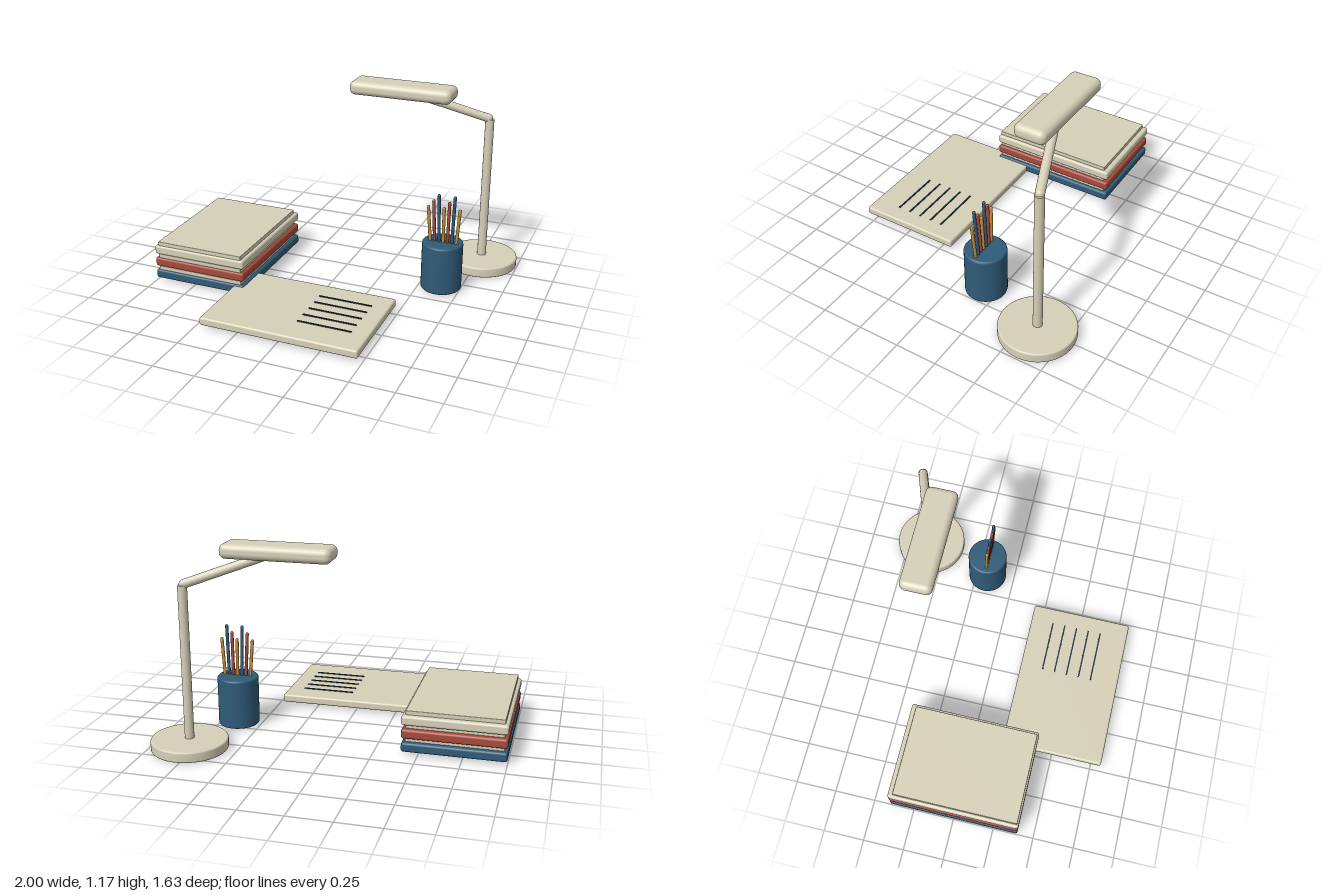
import * as THREE from 'three';
import { RoundedBoxGeometry } from 'three/addons/geometries/RoundedBoxGeometry.js';

const material = (name, color) => Object.assign(new THREE.MeshStandardMaterial({ color }), { name });

export function createModel() {
  const cream = material('cream', 0xd6d0b8);
  const blue = material('blue', 0x2f5b78);
  const red = material('red', 0xa64a3c);
  const gold = material('gold', 0xc08f3c);
  const ink = material('ink', 0x22323c);

  const model = new THREE.Group();
  model.name = 'deskSet';
  const group = (name) => {
    const g = new THREE.Group();
    g.name = name;
    model.add(g);
    return g;
  };
  const add = (parent, name, geometry, mat, x = 0, y = 0, z = 0) => {
    const mesh = new THREE.Mesh(geometry, mat);
    mesh.name = name;
    mesh.position.set(x, y, z);
    parent.add(mesh);
    return mesh;
  };
  // Rounded box given by its minimum and maximum corners
  const slab = (parent, name, mat, [x0, y0, z0], [x1, y1, z1], r, segments = 3) =>
    add(parent, name, new RoundedBoxGeometry(x1 - x0, y1 - y0, z1 - z0, segments, r), mat,
      (x0 + x1) / 2, (y0 + y1) / 2, (z0 + z1) / 2);
  // Round disc or drum with softened rims, standing on y = 0
  const drum = (radius, height, bevel) => {
    const corner = (cy, from) => [0, 1, 2, 3].map((i) => {
      const a = from + (i / 3) * Math.PI / 2;
      return new THREE.Vector2(radius - bevel + Math.cos(a) * bevel, cy + Math.sin(a) * bevel);
    });
    const rim = [...corner(bevel, -Math.PI / 2), ...corner(height - bevel, 0)];
    return new THREE.LatheGeometry([new THREE.Vector2(0, 0), ...rim, new THREE.Vector2(0, height)], 48);
  };
  // Round-ended rod between two points
  const rod = (parent, name, mat, a, b, radius) => {
    const from = new THREE.Vector3(...a), dir = new THREE.Vector3(...b).sub(from);
    const mesh = add(parent, name, new THREE.CapsuleGeometry(radius, dir.length(), 6, 16), mat);
    mesh.position.copy(from).addScaledVector(dir, 0.5);
    mesh.quaternion.setFromUnitVectors(new THREE.Vector3(0, 1, 0), dir.normalize());
    return mesh;
  };

  // Stack of three books, each a coloured cover with an inset page block on top
  const books = group('bookStack');
  [blue, red, cream].forEach((mat, i) => {
    const y = 0.018 + i * 0.08;
    slab(books, 'bookCover', mat, [-1, y, -0.4], [-0.405, y + 0.056, 0.4], 0.014);
    slab(books, 'bookPages', cream, [-0.98, y + 0.04, -0.37], [-0.425, y + 0.08, 0.39], 0.003, 1);
  });

  // Notepad with five written lines
  const pad = group('notepad');
  slab(pad, 'pad', cream, [-0.472, 0.016, 0.184], [0.473, 0.065, 0.81], 0.012);
  for (let i = 0; i < 5; i++) {
    add(pad, 'writtenLine', new THREE.BoxGeometry(0.322, 0.007, 0.009), ink, 0.213, 0.0665, 0.325 + i * 0.078);
  }

  // Pencil cup with a fan of seven pencils
  const cup = group('pencilCup');
  add(cup, 'cup', drum(0.122, 0.3, 0.012), blue, 0.635, 0.005, -0.175);
  for (let i = 0; i < 7; i++) {
    const k = i - 3;
    const top = [0.521, 0.561, 0.601][i % 3];
    rod(cup, 'pencil', [gold, red, blue][i % 3],
      [0.64 + k * 0.026, 0.28, -0.167], [0.64 + k * 0.032, top, -0.157 + (i % 3) * 0.002], 0.0095);
  }

  // Desk lamp: round foot, post, slanted arm and bar head
  const lamp = group('deskLamp');
  add(lamp, 'lampFoot', drum(0.22, 0.063, 0.01), cream, 0.776, 0, -0.597);
  add(lamp, 'lampPost', new THREE.CylinderGeometry(0.027, 0.027, 0.9, 24), cream, 0.776, 0.505, -0.597);
  rod(lamp, 'lampArm', cream, [0.768, 0.962, -0.594], [0.285, 1.13, -0.42], 0.026);
  slab(lamp, 'lampHead', cream, [-0.034, 1.088, -0.514], [0.6, 1.173, -0.326], 0.036, 5);

  return model;
}
